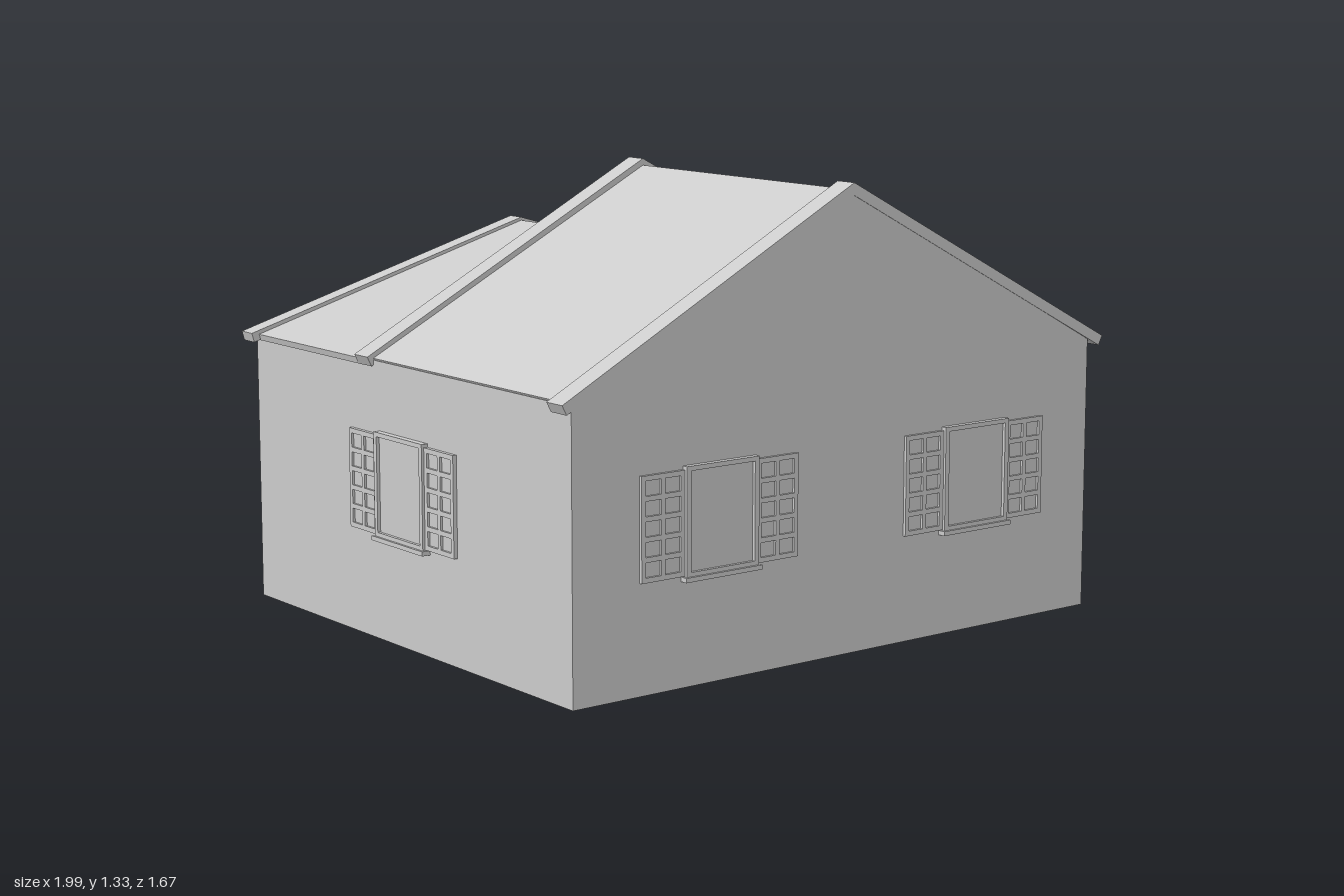
import * as THREE from 'three';

const material = new THREE.MeshStandardMaterial({ color: 0xcccccc, flatShading: true, side: THREE.DoubleSide });

function add(parent, name, geometry, x = 0, y = 0, z = 0, turn = 0) {
  const mesh = new THREE.Mesh(geometry, material);
  mesh.name = name;
  mesh.position.set(x, y, z);
  mesh.rotation.y = turn;
  parent.add(mesh);
  return mesh;
}

// Box given by its lower and upper limits on each axis
function box(parent, name, x0, x1, y0, y1, z0, z1) {
  return add(parent, name, new THREE.BoxGeometry(x1 - x0, y1 - y0, z1 - z0),
    (x0 + x1) / 2, (y0 + y1) / 2, (z0 + z1) / 2);
}

const points = (list) => list.map(([x, y]) => new THREE.Vector2(x, y));
const rect = (x0, x1, y0, y1) => points([[x0, y0], [x1, y0], [x1, y1], [x0, y1]]);

// Flat plate with rectangular holes, from z = 0 to z = depth
function plate(outline, depth, holes = []) {
  const shape = new THREE.Shape(outline);
  for (const hole of holes) shape.holes.push(new THREE.Path(rect(...hole)));
  return new THREE.ExtrudeGeometry(shape, { depth, bevelEnabled: false });
}

// Grid of holes within a rectangle, leaving bars of the given width
function gridHoles(x0, x1, y0, y1, cols, rows, bar) {
  const w = (x1 - x0 - bar) / cols, h = (y1 - y0 - bar) / rows, holes = [];
  for (let i = 0; i < cols; i++) for (let j = 0; j < rows; j++) {
    holes.push([x0 + bar + i * w, x0 + (i + 1) * w, y0 + bar + j * h, y0 + (j + 1) * h]);
  }
  return holes;
}

// Inverted V running along z, with eaves cut square to the slope
function gableRoof(parent, name, ridgeX, ridgeY, half, eaveY, thick, z0, z1) {
  const slope = (ridgeY - eaveY) / half;
  const cut = thick * slope / (1 + slope * slope);
  const inner = half - cut;
  const drop = eaveY + slope * cut - thick;
  const outline = points([
    [ridgeX - half, eaveY], [ridgeX - inner, drop], [ridgeX, ridgeY - thick],
    [ridgeX + inner, drop], [ridgeX + half, eaveY], [ridgeX, ridgeY]]);
  add(parent, name, plate(outline, z1 - z0), 0, 0, z0);
}

// Window with two paned shutters, facing +z
function shutteredWindow(parent, name, x, z, turn) {
  const win = new THREE.Group();
  win.name = name;
  win.position.set(x, 0, z);
  win.rotation.y = turn;
  parent.add(win);
  add(win, 'windowFrame', plate(rect(-0.125, 0.125, 0.305, 0.61), 0.02, [[-0.11, 0.11, 0.32, 0.597]]));
  box(win, 'windowPane', -0.115, 0.115, 0.315, 0.6, -0.005, 0.01);
  box(win, 'windowSill', -0.132, 0.132, 0.295, 0.308, 0, 0.027);
  for (const side of [-1, 1]) {
    const x0 = side < 0 ? -0.27 : 0.125, x1 = x0 + 0.145;
    add(win, 'shutterLattice', plate(rect(x0, x1, 0.31, 0.6), 0.012, gridHoles(x0, x1, 0.31, 0.6, 2, 5, 0.014)));
    box(win, 'shutterBack', x0 + 0.005, x1 - 0.005, 0.315, 0.595, -0.002, 0.005);
  }
}

export function createModel() {
  const house = new THREE.Group();
  house.name = 'house';
  const left = -0.95, right = 0.94, thick = 0.03, eave = 0.81;

  // Outer walls, with the porch corner open at the back and the side
  add(house, 'frontWall', plate(points([
    [left, 0], [right, 0], [right, eave], [0.01, 1.3], [left, eave]]), thick), 0, 0, 0.778);
  add(house, 'backWall', plate(points([
    [left, 0], [right, 0], [right, 0.8], [0, 1.08], [left, 0.8]]), thick, [[0.11, 0.75, 0.07, 0.79]]), 0, 0, -0.81);
  box(house, 'leftWall', left, left + thick, 0, eave, -0.805, 0.805);
  add(house, 'rightWall', plate(rect(-0.805, 0.805, 0, 0.8), thick, [[0.2, 0.63, 0.07, 0.79]]),
    right - thick, 0, 0, Math.PI / 2);

  // Porch: floor, inner side wall and the wall that carries the door
  box(house, 'porchFloor', 0.11, 0.945, 0, 0.07, -0.812, -0.2);
  box(house, 'porchSideWall', 0.08, 0.11, 0, 0.8, -0.8, -0.18);
  add(house, 'porchBackWall', plate(points([
    [0.09, 0], [right, 0], [right, eave], [0.01, 1.3], [left, eave], [left, 0.79], [0.09, 0.79]]), thick), 0, 0, -0.2);

  // Door
  const door = new THREE.Group();
  door.name = 'door';
  house.add(door);
  const panels = [[0.44, 0.66, 0.1, 0.27], [0.44, 0.66, 0.29, 0.46], [0.44, 0.54, 0.48, 0.6], [0.56, 0.66, 0.48, 0.6]];
  add(door, 'doorFrame', plate(rect(0.41, 0.69, 0.08, 0.62), 0.025, panels), 0, 0, -0.222);
  box(door, 'doorPanel', 0.42, 0.68, 0.085, 0.615, -0.21, -0.2);
  add(door, 'doorKnob', new THREE.SphereGeometry(0.014, 10, 8), 0.425, 0.39, -0.24);
  box(door, 'doorKnobStem', 0.419, 0.431, 0.384, 0.396, -0.24, -0.218);

  // Tall front roof and lower rear roof, each with raised edge trims
  gableRoof(house, 'mainRoof', 0.01, 1.31, 0.96, 0.815, 0.02, -0.2, 0.79);
  gableRoof(house, 'mainRoofFrontTrim', 0.01, 1.33, 0.99, 0.815, 0.035, 0.74, 0.81);
  gableRoof(house, 'mainRoofRearTrim', 0.01, 1.33, 0.98, 0.82, 0.035, -0.22, -0.15);
  gableRoof(house, 'rearRoof', 0, 1.09, 0.96, 0.81, 0.02, -0.81, -0.18);
  gableRoof(house, 'rearRoofTrim', 0, 1.1, 0.985, 0.815, 0.03, -0.84, -0.78);

  // Windows on all four sides
  shutteredWindow(house, 'frontWindowRight', -0.46, 0.805, 0);
  shutteredWindow(house, 'frontWindowLeft', 0.48, 0.805, 0);
  shutteredWindow(house, 'sideWindowLeft', right, 0.33, Math.PI / 2);
  shutteredWindow(house, 'sideWindowRight', left, 0, -Math.PI / 2);
  shutteredWindow(house, 'backWindow', -0.45, -0.81, Math.PI);

  return house;
}
